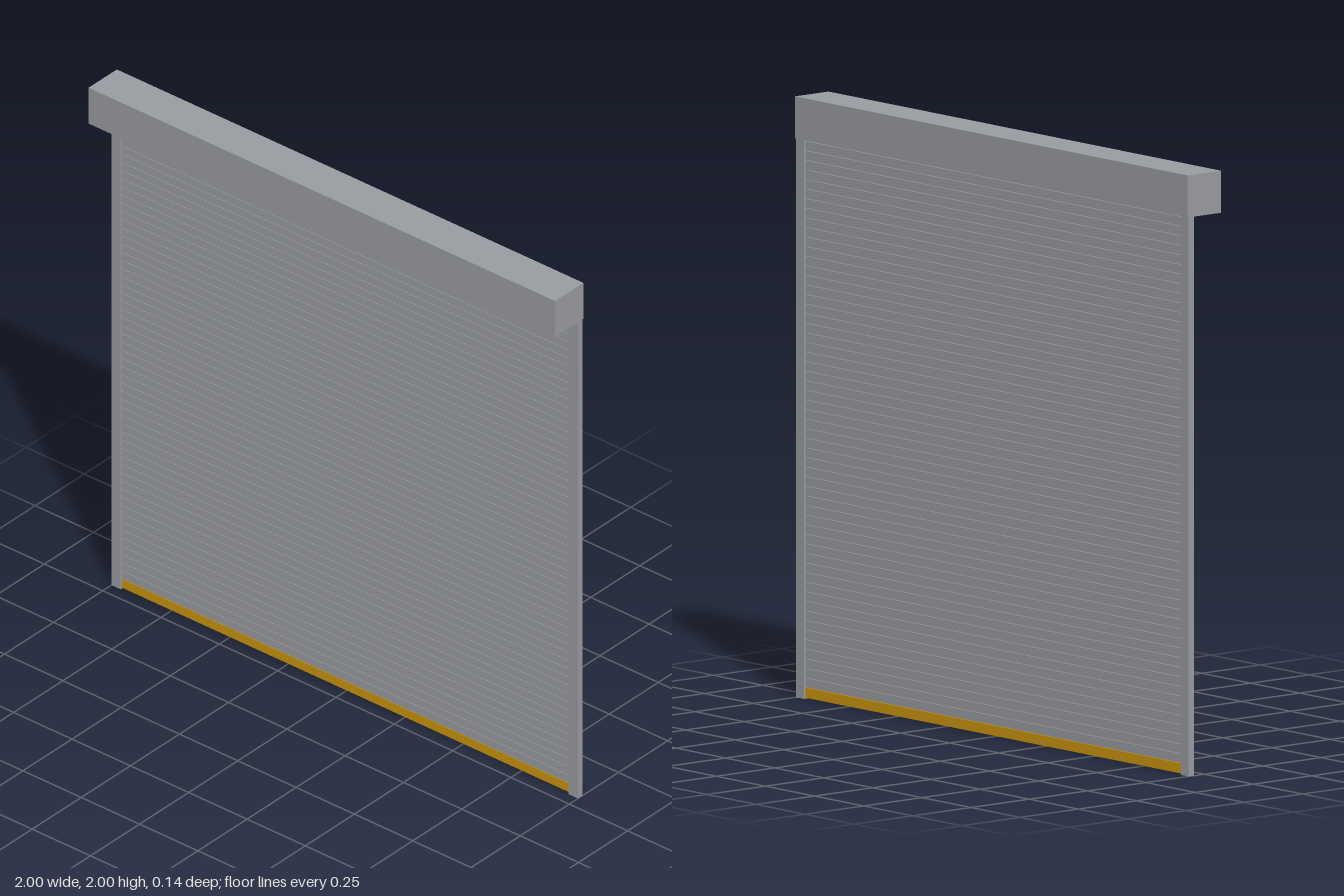
import * as THREE from 'three';

const grey = new THREE.MeshStandardMaterial({ color: 0x999ca1 });
grey.name = 'shutter grey';
const yellow = new THREE.MeshStandardMaterial({ color: 0xc9940f });
yellow.name = 'safety yellow';

// Box given by its extents on each axis
function box(name, material, [x0, x1], [y0, y1], [z0, z1]) {
  const mesh = new THREE.Mesh(new THREE.BoxGeometry(x1 - x0, y1 - y0, z1 - z0), material);
  mesh.position.set((x0 + x1) / 2, (y0 + y1) / 2, (z0 + z1) / 2);
  mesh.name = name;
  return mesh;
}

export function createModel() {
  const model = new THREE.Group();
  model.name = 'rollerShutter';

  const houseBottom = 1.86, inner = 0.96;
  const railZ = [-0.067, -0.044], slatZ = [-0.06, -0.051];

  // Housing for the rolled-up curtain
  model.add(box('housing', grey, [-1, 1], [houseBottom, 2], [-0.072, 0.072]));

  // Guide rails on both sides
  model.add(box('leftRail', grey, [inner, 1], [0, houseBottom], railZ));
  model.add(box('rightRail', grey, [-1, -inner], [0, houseBottom], railZ));

  // Curtain: narrow slats with hairline gaps
  const curtain = new THREE.Group();
  curtain.name = 'curtain';
  const pitch = 0.0319, gap = 0.0016, first = 0.0382;
  for (let y = first; y < houseBottom - gap; y += pitch) {
    const top = Math.min(y + pitch - gap, houseBottom);
    curtain.add(box('slat', grey, [-inner, inner], [y, top], slatZ));
  }
  model.add(curtain);

  // Coloured bar along the bottom edge
  model.add(box('bottomBar', yellow, [-inner, inner], [0.003, first - gap], slatZ));

  return model;
}
